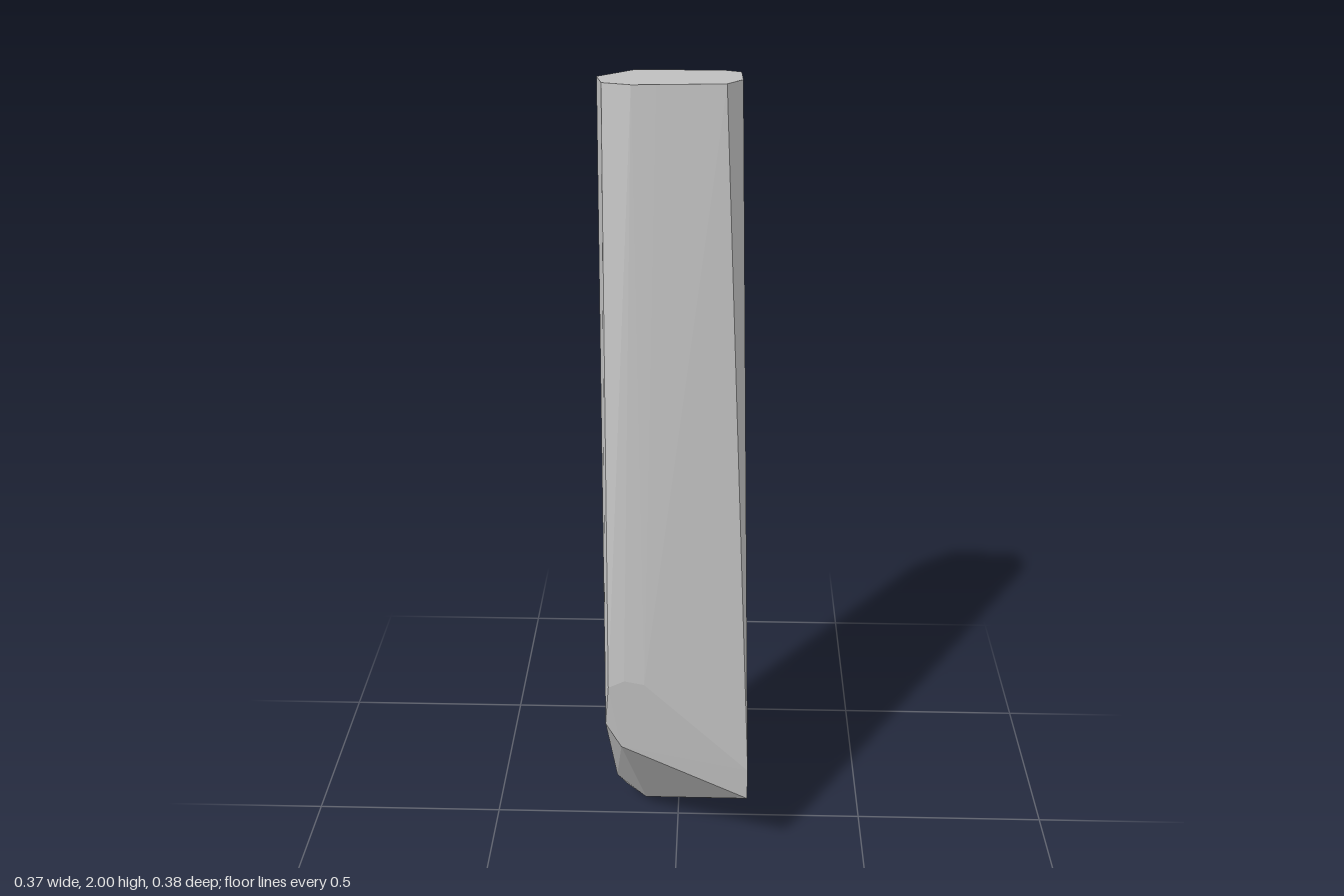
import * as THREE from 'three';
import { ConvexGeometry } from 'three/addons/geometries/ConvexGeometry.js';

const stone = new THREE.MeshStandardMaterial({ color: 0xc0c0c0 });
stone.name = 'grey stone';

// Corner rings of the faceted block, each [x, y, z]
const topRim = [
  [-0.105, 2, -0.183], [0.1, 2, -0.183], [0.14, 2, -0.165], [0.143, 2, -0.085], [0.107, 2, -0.043],
  [-0.05, 2, -0.03], [-0.105, 2, -0.027], [-0.172, 2, -0.047], [-0.187, 2, -0.11],
];
// clipped rear corner below the top
const rearCorner = [[-0.184, 1.88, -0.165], [-0.14, 1.88, -0.184]];
// small flat on the front and the ridge under it
const frontFlat = [
  [-0.17, 0.55, 0.19], [-0.13, 0.57, 0.19], [-0.08, 0.56, 0.19], [0.185, 0.3, 0.192],
  [0.185, 0.21, 0.192], [-0.14, 0.37, 0.192], [-0.179, 0.44, 0.19],
];
// rounded foot
const foot = [
  [0.185, 0.035, -0.025], [0.185, 0.008, -0.06], [0.185, 0, -0.095], [0.185, 0.015, -0.16], [0.185, 0.065, -0.193],
  [-0.06, 0.022, -0.05], [-0.06, 0.015, -0.1], [-0.06, 0.028, -0.155], [-0.09, 0.08, -0.193],
  [-0.09, 0.032, -0.03], [-0.145, 0.045, -0.07], [-0.14, 0.06, -0.14], [-0.14, 0.12, -0.186],
  [-0.17, 0.1, -0.04], [-0.175, 0.1, -0.11], [-0.178, 0.2, -0.163],
];

export function createModel() {
  const points = [...topRim, ...rearCorner, ...frontFlat, ...foot].map((p) => new THREE.Vector3(...p));
  const block = new THREE.Mesh(new ConvexGeometry(points), stone);
  block.name = 'stoneBlock';
  const group = new THREE.Group();
  group.name = 'taperedStone';
  group.add(block);
  return group;
}
